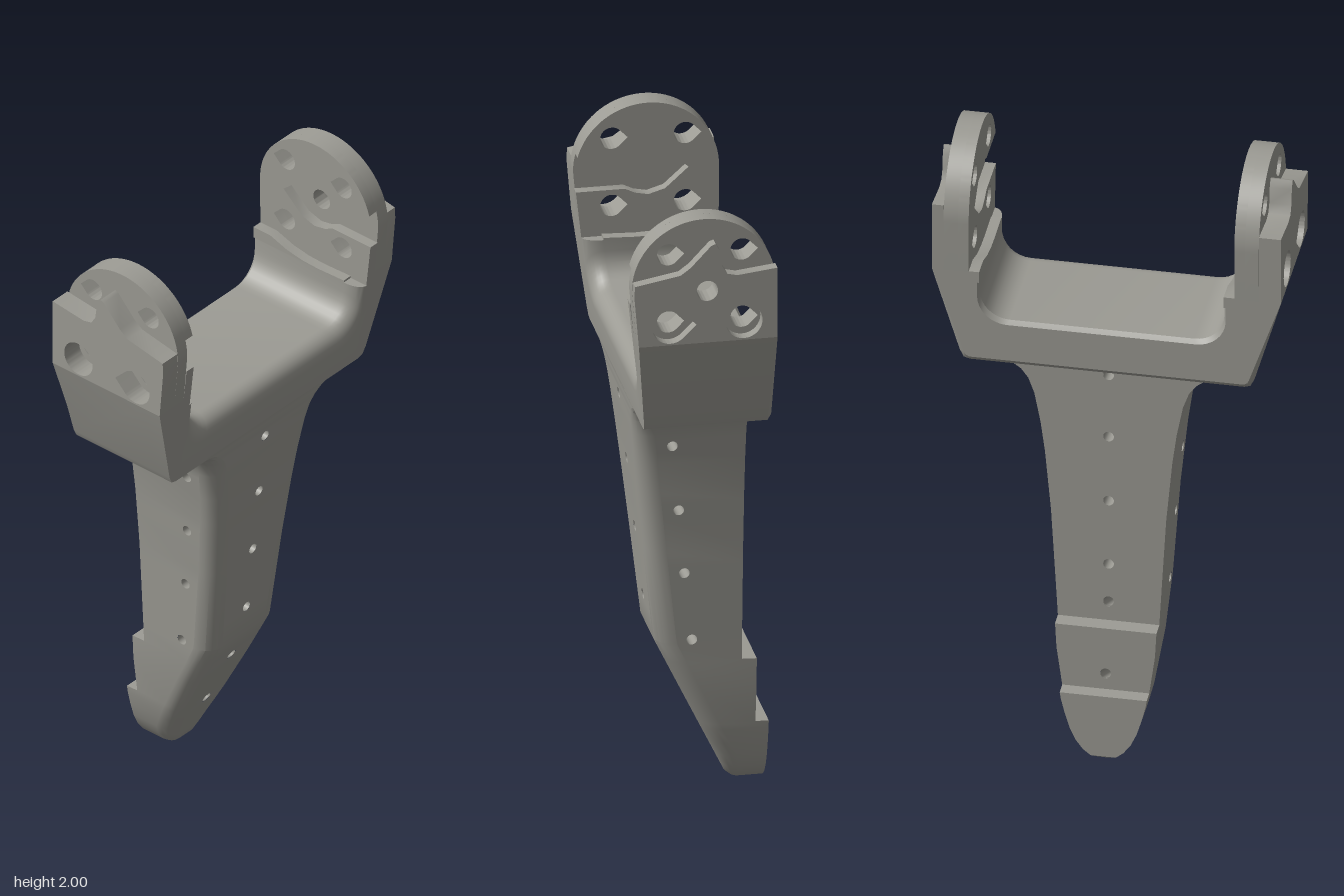
import * as THREE from 'three';
import { toCreasedNormals } from 'three/addons/utils/BufferGeometryUtils.js';

const GREY = 0x9c9b94;
const material = new THREE.MeshStandardMaterial({ color: GREY });
const boreMaterial = new THREE.MeshStandardMaterial({ color: GREY, side: THREE.BackSide });

// Piecewise linear lookup in [y, value] pairs
function lookup(table, y) {
  for (let i = 1; i < table.length; i++) {
    const [a, va] = table[i - 1], [b, vb] = table[i];
    if (y <= b) return va + ((vb - va) * (y - a)) / (b - a);
  }
  return table[table.length - 1][1];
}

// Blade outline: half width in z, front edge and stepped rear edge in x
const TOP = 1.315;
const WIDTH = [[0, 0.001], [0.004, 0.02], [0.01, 0.035], [0.03, 0.06], [0.06, 0.082], [0.1, 0.1], [0.15, 0.115],
  [0.2, 0.127], [0.35, 0.147], [0.5, 0.155], [0.8, 0.172], [1, 0.19], [1.1, 0.203], [1.2, 0.222], [1.25, 0.24],
  [1.28, 0.262], [1.3, 0.29], [1.31, 0.32], [TOP, 0.33]];
const EDGE = [[0, -0.17], [0.01, -0.145], [0.03, -0.125], [0.5, 0.1], [1.31, 0.19], [1.85, 0.25]];
const REAR = [[0, -0.225], [0.012, -0.24], [0.22, -0.24], [0.222, -0.2], [0.432, -0.2], [0.434, -0.155], [TOP, -0.155]];
const width = (y) => lookup(WIDTH, y);
const edge = (y) => lookup(EDGE, y);
const rear = (y) => lookup(REAR, y);
const corner = (y) => Math.min(0.06, width(y) * 0.6);

// Side bores run along z; edge bores run square to the front edge and climb to the rear
const SIDE_HOLES = [[-0.005, 0.51], [0.02, 0.73], [0.04, 0.94], [0.065, 1.16]];
const EDGE_HOLES = [[0.2, 0.277], [0.4, 0.5], [0.6, 0.63], [0.82, 0.85], [1.04, 1.073], [1.25, 1.287]];
const BORE = 0.016, BAND = 0.02;

function finish(positions, angle) {
  const geometry = new THREE.BufferGeometry();
  geometry.setAttribute('position', new THREE.Float32BufferAttribute(positions, 3));
  return toCreasedNormals(geometry, angle);
}

function named(name, geometry, mat = material) {
  const mesh = new THREE.Mesh(geometry, mat);
  mesh.name = name;
  return mesh;
}

// Open tube between two points
function createBore(name, from, to) {
  const axis = to.clone().sub(from);
  const bore = named(name, new THREE.CylinderGeometry(BORE, BORE, axis.length(), 16, 1, true), boreMaterial);
  bore.position.copy(from).add(to).multiplyScalar(0.5);
  bore.quaternion.setFromUnitVectors(new THREE.Vector3(0, 1, 0), axis.normalize());
  return bore;
}

function createBlade() {
  const group = new THREE.Group();
  group.name = 'blade';
  const rows = [...new Set([...WIDTH, ...REAR, ...EDGE].map((p) => p[0]))].filter((y) => y <= TOP).sort((a, b) => a - b);

  // One face of the blade, as bands of flat shapes bent into place; each hole has its own band
  const positions = [];
  function panel(lo, hi, holes, map) {
    const cuts = rows.filter((y) => !holes.some((h) => Math.abs(y - h[1]) <= BAND));
    for (const h of holes) cuts.push(h[1] - BAND, h[1] + BAND);
    cuts.sort((a, b) => a - b);
    for (let i = 1; i < cuts.length; i++) {
      const a = cuts[i - 1], b = cuts[i];
      const ys = [a, ...rows.filter((y) => y > a && y < b), b];
      const outline = [...ys.map((y) => [hi(y), y]), ...ys.map((y) => [lo(y), y]).reverse()];
      const shape = new THREE.Shape(outline.map((p) => new THREE.Vector2(...p)));
      for (const [u, y] of holes) {
        if (y > a && y < b) shape.holes.push(new THREE.Path().absarc(u, y, BORE, 0, Math.PI * 2, true));
      }
      const flat = new THREE.ShapeGeometry(shape, 16);
      const p = flat.attributes.position;
      for (const k of flat.index.array) positions.push(...map(p.getX(k), p.getY(k)));
    }
  }
  const sideEnd = (y) => edge(y) - corner(y);
  const flatHalf = (y) => width(y) - corner(y);
  panel(rear, sideEnd, SIDE_HOLES, (u, y) => [u, y, width(y)]);
  panel((y) => -sideEnd(y), (y) => -rear(y), SIDE_HOLES.map(([x, y]) => [-x, y]), (u, y) => [-u, y, -width(y)]);
  panel((y) => -flatHalf(y), flatHalf, EDGE_HOLES.map(([y]) => [0, y]), (u, y) => [edge(y), y, -u]);
  panel((y) => -width(y), width, EDGE_HOLES.map(([, y]) => [0, y]), (u, y) => [rear(y), y, u]);
  // Rounded corners of the front edge
  const steps = 10;
  for (let i = 0; i < steps; i++) {
    const t0 = (Math.PI * i) / steps, t1 = (Math.PI * (i + 1)) / steps, s = i < steps / 2 ? 1 : -1;
    panel(() => t0, () => t1, [], (t, y) => [sideEnd(y) + corner(y) * Math.sin(t), y, s * flatHalf(y) + corner(y) * Math.cos(t)]);
  }
  group.add(named('bladeBody', finish(positions, 0.4)));

  for (const [x, y] of SIDE_HOLES) {
    group.add(createBore('sideBore', new THREE.Vector3(x, y, -width(y)), new THREE.Vector3(x, y, width(y))));
  }
  for (const [y0, y1] of EDGE_HOLES) {
    group.add(createBore('edgeBore', new THREE.Vector3(edge(y0), y0, 0), new THREE.Vector3(rear(y1), y1, 0)));
  }
  return group;
}

// The two arms: depths of ledge, slotted plate, disc and cover along their own side of z
const ARMS = {
  front: { side: 1, wall: 0.35, plate: 0.382, disc: 0.414, cover: 0.455, outer: 0.521 },
  back: { side: -1, wall: 0.38, plate: 0.411, disc: 0.443, cover: 0.486, outer: 0.521 },
};
const LEDGE = 1.585;

// Half of the U-shaped yoke section in (z, y); d opens the inside, e rounds the underside
function yokeHalf({ side, wall, plate, outer }, d, e) {
  const R = 0.09, inner = wall + d * 0.5;
  const half = [[0.41, 1.31 + e], [0.428 - e * 0.5, 1.316 + e], [0.44 - e, 1.34], [outer, 1.62], [plate, 1.62], [plate, LEDGE], [inner, LEDGE]];
  for (let i = 0; i <= 8; i++) {
    const t = (-Math.PI / 2) * (i / 8);
    half.push([inner - R + R * Math.cos(t), 1.46 - d + R + R * Math.sin(t)]);
  }
  return half.map(([z, y]) => [z * side, y]);
}

function createYoke() {
  const stations = [
    { a: 0, d: 0.012, e: 0.015, back: true },
    { a: 0.012, d: 0, e: 0, back: true },
  ];
  for (let i = 0; i <= 8; i++) {
    const t = (Math.PI / 2) * (i / 8);
    stations.push({ a: 0.06 * (1 - Math.sin(t)), d: 0.06 * (1 - Math.cos(t)), e: 0 });
  }
  const rings = stations.map(({ a, d, e, back }) =>
    [...yokeHalf(ARMS.front, d, e), ...yokeHalf(ARMS.back, d, e).reverse()]
      .map(([z, y]) => [back ? -0.19 + a : edge(y) - a, y, z]));
  const positions = [];
  const n = rings[0].length;
  for (let k = 1; k < rings.length; k++) {
    for (let i = 0; i < n; i++) {
      const j = (i + 1) % n, p = rings[k - 1], q = rings[k];
      positions.push(...p[i], ...q[i], ...q[j], ...p[i], ...q[j], ...p[j]);
    }
  }
  // End caps
  for (const ring of [rings[0], rings[rings.length - 1]]) {
    const faces = THREE.ShapeUtils.triangulateShape(ring.map(([, y, z]) => new THREE.Vector2(z, y)), []);
    for (const [a, b, c] of faces) {
      const order = ring === rings[0] ? [a, b, c] : [a, c, b];
      for (const k of order) positions.push(...ring[k]);
    }
  }
  return named('yoke', finish(positions, 0.6));
}

// Teardrop hole with its tip toward -x
function teardrop(x, y, r) {
  const path = new THREE.Path();
  path.moveTo(x - r * 1.41, y);
  path.lineTo(x - r * 0.707, y - r * 0.707);
  path.absarc(x, y, r, -0.75 * Math.PI, 0.75 * Math.PI, false);
  path.closePath();
  return path;
}
const circle = (x, y, r) => new THREE.Path().absarc(x, y, r, 0, Math.PI * 2, false);
const polygon = (points) => new THREE.Shape(points.map((p) => new THREE.Vector2(...p)));

const CX = 0.024, CY = 1.785, DISC = 0.215;
const LOWER = [[-0.09, 1.68], [0.13, 1.68]], UPPER = [[-0.09, 1.895], [0.13, 1.895]];

// Round-topped plate, optionally with the keyed slot open at the front edge
function discShape(slotted) {
  const shape = new THREE.Shape();
  shape.moveTo(-0.19, 1.62);
  shape.lineTo(edge(1.62), 1.62);
  if (slotted) {
    const slot = [[edge(1.73), 1.73], [0.09, 1.73], [0.06, 1.715], [0.02, 1.707], [-0.03, 1.722], [-0.1, CY],
      [-0.03, 1.848], [0.02, 1.863], [0.06, 1.855], [0.09, 1.84]];
    for (const p of slot) shape.lineTo(...p);
  }
  shape.absarc(CX, CY, DISC, slotted ? 0.259 : 0, Math.PI, false);
  for (const [x, y] of [...LOWER, ...UPPER]) shape.holes.push(teardrop(x, y, 0.034));
  return shape;
}

// Outer cover with a raised point between the upper holes
function coverShape() {
  const shape = polygon([[-0.19, 1.62], [edge(1.62), 1.62], [0.238, 1.78], [0.236, 1.815], [0.1, 1.84], [0.07, 1.862],
    [0.008, 1.928], [-0.005, 1.933], [-0.018, 1.91], [-0.025, 1.86], [-0.04, 1.835], [-0.07, 1.828], [-0.19, 1.842]]);
  shape.holes.push(circle(...LOWER[0], 0.055), teardrop(...LOWER[1], 0.055));
  return shape;
}

// Ledge under the disc, dipping around it
function ledgeShape() {
  return polygon([[-0.19, LEDGE], [0.16, LEDGE], [0.16, 1.592], [0.06, 1.588], [0, 1.59], [-0.06, 1.6], [-0.125, 1.622], [-0.19, 1.622]]);
}

function createArm({ side, wall, plate, disc, cover, outer }) {
  const group = new THREE.Group();
  group.name = side > 0 ? 'frontArm' : 'backArm';
  const layers = [
    ['ledge', ledgeShape(), wall, plate],
    ['slottedPlate', discShape(true), plate, disc],
    ['discPlate', discShape(false), disc, cover],
    ['cover', coverShape(), cover, outer],
  ];
  for (const [name, shape, z0, z1] of layers) {
    // Only the back arm has a centre hole
    if (side < 0 && (name === 'discPlate' || name === 'cover')) shape.holes.push(circle(0.02, CY, 0.032));
    const geometry = new THREE.ExtrudeGeometry(shape, { depth: z1 - z0, bevelEnabled: false, curveSegments: 32 });
    geometry.translate(0, 0, side > 0 ? z0 : -z1);
    group.add(named(name, toCreasedNormals(geometry, 0.5)));
  }
  return group;
}

export function createModel() {
  const model = new THREE.Group();
  model.name = 'forkedBracket';
  model.add(createBlade(), createYoke(), createArm(ARMS.front), createArm(ARMS.back));
  return model;
}
